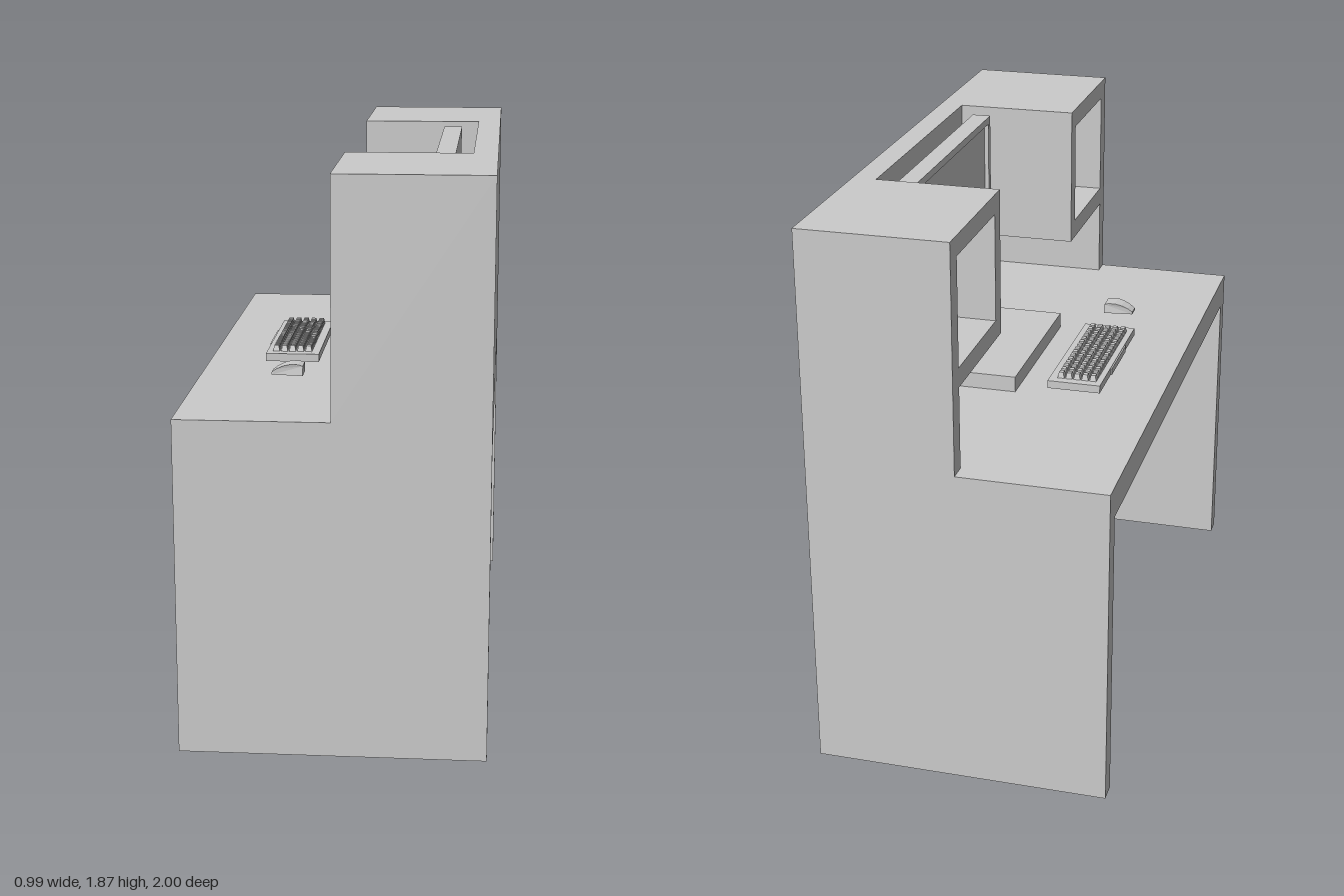
import * as THREE from 'three';

const material = new THREE.MeshStandardMaterial({ color: 0xcccccc, flatShading: true });

function add(parent, name, geometry) {
  const mesh = new THREE.Mesh(geometry, material);
  mesh.name = name;
  parent.add(mesh);
  return mesh;
}

// Box given by its extents on each axis
function box(parent, name, [x0, x1], [y0, y1], [z0, z1]) {
  const mesh = add(parent, name, new THREE.BoxGeometry(x1 - x0, y1 - y0, z1 - z0));
  mesh.position.set((x0 + x1) / 2, (y0 + y1) / 2, (z0 + z1) / 2);
  return mesh;
}

function group(parent, name) {
  const g = new THREE.Group();
  g.name = name;
  parent.add(g);
  return g;
}

const polygon = (points) => new THREE.Shape(points.map(([x, y]) => new THREE.Vector2(x, y)));

const FRONT = -0.495, BACK = 0.495, TOP = 1.87, DESK = 1.106, SIDE = 0.935;

function buildDesk(parent) {
  const desk = group(parent, 'desk');
  box(desk, 'desktop', [FRONT, BACK], [1, DESK], [-SIDE, SIDE]);
  box(desk, 'backPanel', [0.415, BACK], [DESK, TOP], [-SIDE, SIDE]);
  // L-shaped side panels reach from the floor to the top of the cabinets
  const outline = polygon([[FRONT, 0], [BACK, 0], [BACK, TOP], [0, TOP], [0, DESK], [FRONT, DESK]]);
  for (const z of [-1, SIDE]) {
    const panel = new THREE.ExtrudeGeometry(outline, { depth: 1 - SIDE, bevelEnabled: false });
    add(desk, 'sidePanel', panel).position.z = z;
  }
  // Open-fronted cabinets hung between side panel and monitor bay
  for (const s of [-1, 1]) {
    const cabinet = group(desk, 'cabinet');
    const span = (a, b) => [Math.min(s * a, s * b), Math.max(s * a, s * b)];
    box(cabinet, 'cabinetTop', [0, 0.415], [1.805, TOP], span(0.53, SIDE));
    box(cabinet, 'cabinetShelf', [0, 0.415], [1.38, 1.445], span(0.53, SIDE));
    box(cabinet, 'cabinetInnerWall', [0, 0.415], [1.38, TOP], span(0.47, 0.53));
  }
}

function buildMonitor(parent) {
  const monitor = group(parent, 'monitor');
  box(monitor, 'monitorBase', [-0.005, 0.345], [DESK, 1.16], [-0.32, 0.3]);
  box(monitor, 'monitorNeck', [0.295, 0.345], [1.16, 1.25], [-0.165, 0.14]);
  const [z0, z1, y0, y1, rim] = [-0.435, 0.41, 1.24, 1.855, 0.025];
  box(monitor, 'monitorBody', [0.305, 0.355], [y0, y1], [z0, z1]);
  // Raised bezel around the recessed screen
  const bezel = polygon([[-z1, y0], [-z0, y0], [-z0, y1], [-z1, y1]]);
  bezel.holes.push(polygon([[-z1 + rim, y0 + rim], [-z1 + rim, y1 - rim], [-z0 - rim, y1 - rim], [-z0 - rim, y0 + rim]]));
  const geometry = new THREE.ExtrudeGeometry(bezel, { depth: 0.015, bevelEnabled: false });
  geometry.rotateY(Math.PI / 2);
  add(monitor, 'monitorBezel', geometry).position.x = 0.29;
}

function buildKeyboard(parent) {
  const keyboard = group(parent, 'keyboard');
  box(keyboard, 'keyboardPlate', [-0.293, -0.11], [1.12, 1.147], [-0.29, 0.255]);
  box(keyboard, 'keyboardFrontStrip', [-0.298, -0.293], [1.122, 1.145], [-0.13, 0.09]);
  // Keys taper towards their tops
  const key = new THREE.CylinderGeometry(0.011, 0.0165, 0.02, 4, 1);
  key.rotateY(Math.PI / 4);
  key.scale(1, 1, 1.2);
  const rows = 5, columns = 15;
  for (let r = 0; r < rows; r++) {
    for (let c = 0; c < columns; c++) {
      const x = -0.275 + (r + 0.5) * 0.14 / rows;
      const z = -0.26 + (c + 0.5) * 0.48 / columns;
      add(keyboard, 'key', key).position.set(x, 1.157, z);
    }
  }
}

function buildMouse(parent) {
  // Curved side profile, narrowed towards the palm end and top
  const profile = polygon([[-0.245, 1.128], [-0.14, 1.128], [-0.14, 1.16], [-0.155, 1.165],
    [-0.18, 1.166], [-0.205, 1.16], [-0.228, 1.149], [-0.245, 1.137]]);
  const geometry = new THREE.ExtrudeGeometry(profile, { depth: 0.07, bevelEnabled: false });
  geometry.translate(0, 0, -0.035);
  const p = geometry.attributes.position;
  for (let i = 0; i < p.count; i++) {
    const end = Math.max(0, (-0.19 - p.getX(i)) / 0.055);
    const height = (p.getY(i) - 1.128) / 0.038;
    p.setZ(i, p.getZ(i) * (1 - 0.35 * end) * (1 - 0.12 * height));
  }
  geometry.computeVertexNormals();
  add(parent, 'mouse', geometry).position.z = 0.46;
}

export function createModel() {
  const model = new THREE.Group();
  model.name = 'workstation';
  buildDesk(model);
  buildMonitor(model);
  buildKeyboard(model);
  buildMouse(model);
  return model;
}
